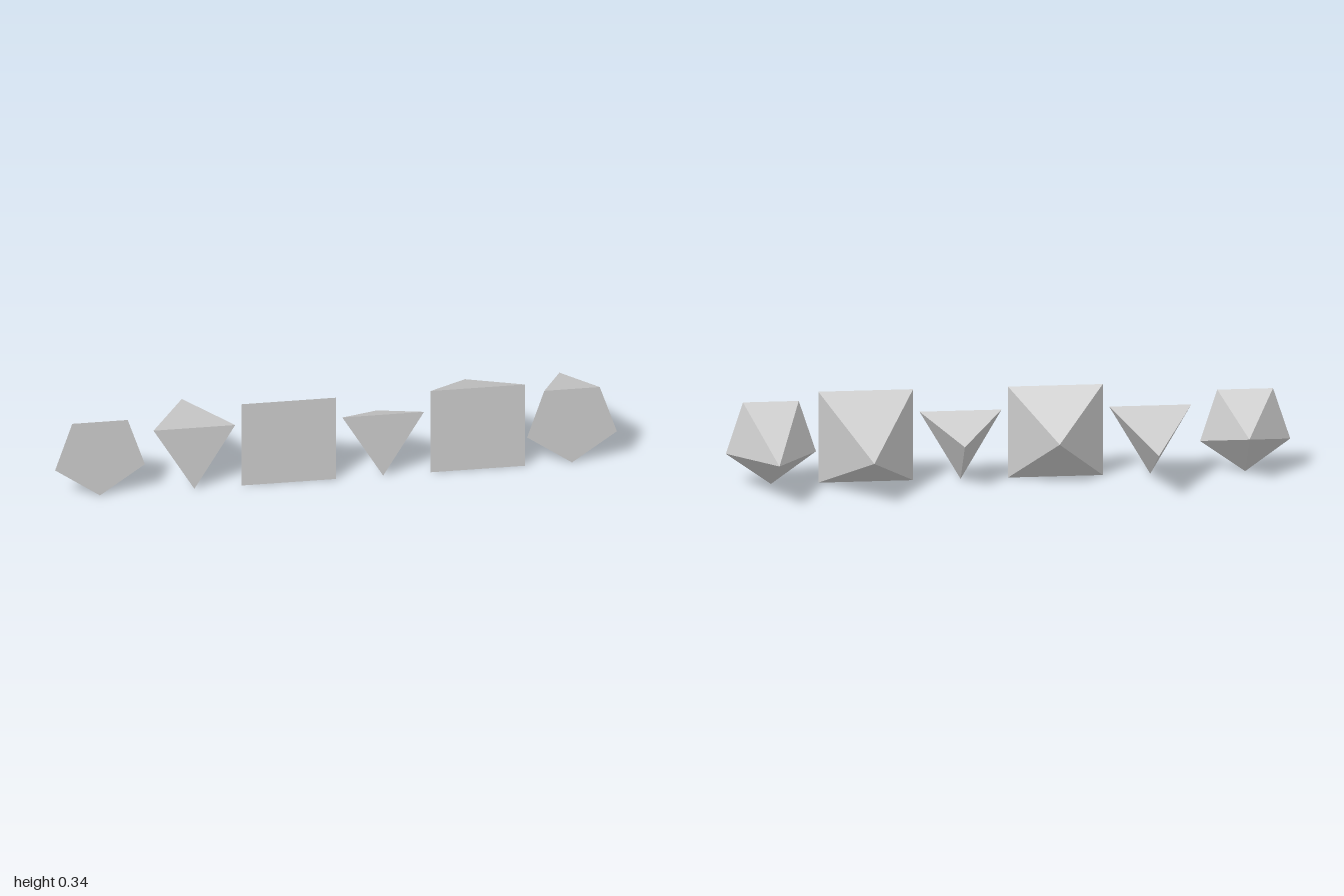
import * as THREE from 'three';

const R = 0.168; // base radius, also half the spacing between solids

// Pyramid lying on its side: base faces +z, apex points to -z
function pyramid(name, sides, radius, start, height, x) {
  const geometry = new THREE.ConeGeometry(radius, height, sides, 1, false, start);
  geometry.rotateX(-Math.PI / 2);
  const material = new THREE.MeshStandardMaterial({ color: 0xcccccc, flatShading: true });
  const mesh = new THREE.Mesh(geometry, material);
  mesh.name = name;
  mesh.position.set(x, R, R - height / 2);
  return mesh;
}

// Base shapes; triangle and pentagon stand on a corner, the square on an edge
const bases = {
  triangular: [3, R, Math.PI],
  square: [4, R * Math.SQRT2, Math.PI / 4],
  pentagonal: [5, R, Math.PI],
};

export function createModel() {
  const group = new THREE.Group();
  group.name = 'pyramidRow';

  // Row from the model's right to its left, alternating short and tall
  const row = [
    ['pentagonal', 'short'], ['triangular', 'tall'], ['square', 'short'],
    ['triangular', 'short'], ['square', 'tall'], ['pentagonal', 'tall'],
  ];
  row.forEach(([base, size], i) => {
    const height = size === 'tall' ? 2 * R : R;
    group.add(pyramid(`${size} ${base} pyramid`, ...bases[base], height, (i - 2.5) * 2 * R));
  });
  return group;
}
